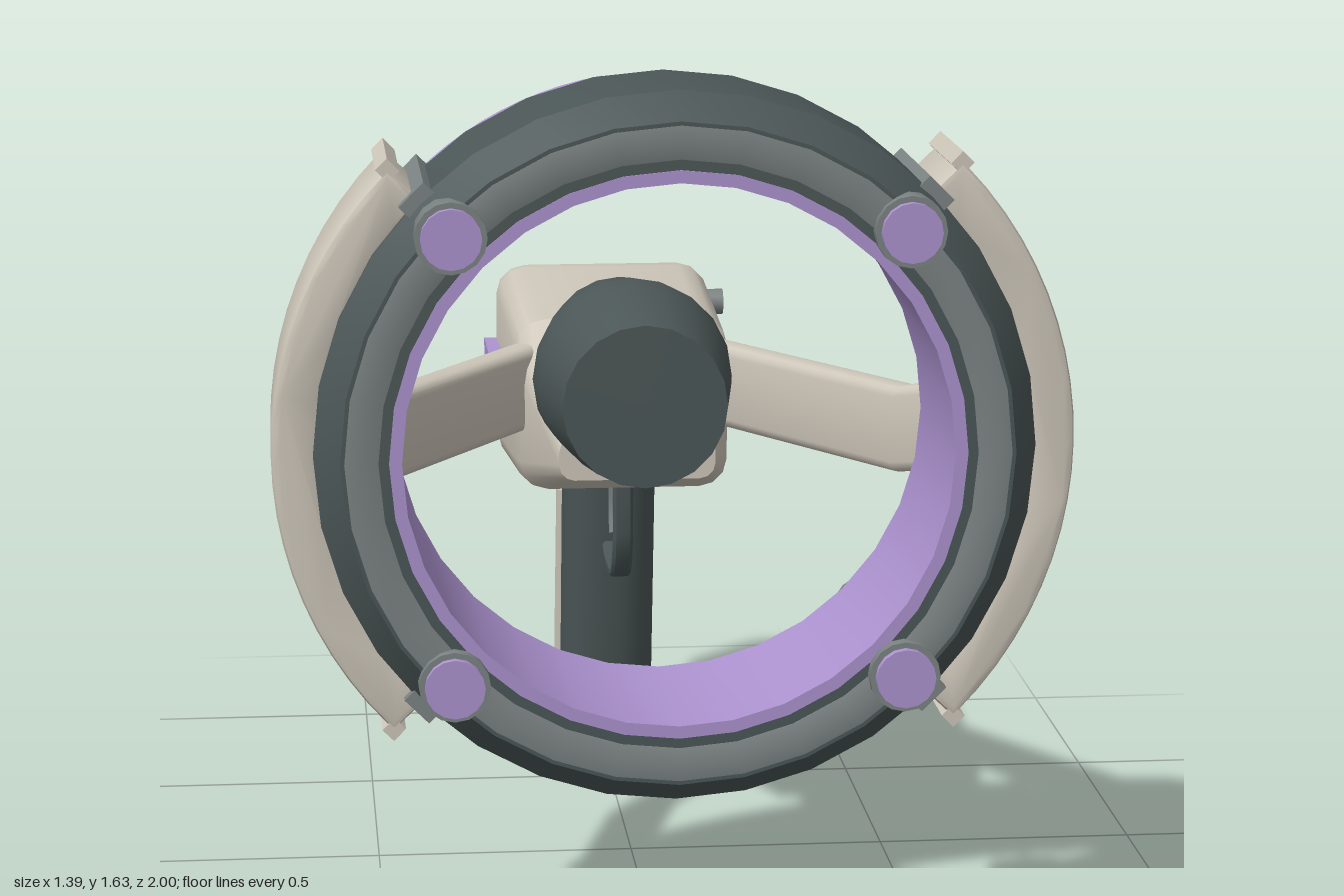
import * as THREE from 'three';
import { toCreasedNormals } from 'three/addons/utils/BufferGeometryUtils.js';

const RING_Y = 1.01;

export function createModel() {
  const model = new THREE.Group();
  const material = (name, color) => {
    const m = new THREE.MeshStandardMaterial({ color });
    m.name = name;
    return m;
  };
  const dark = material('dark slate', 0x4c5757);
  const cream = material('warm cream', 0xcec7ba);
  const purple = material('soft purple', 0xad93d0);
  const grey = material('mid grey', 0x7c8383);

  const add = (name, geo, mat, x = 0, y = 0, z = 0, crease = 0.6) => {
    const mesh = new THREE.Mesh(toCreasedNormals(geo, crease), mat);
    mesh.name = name;
    mesh.position.set(x, y, z);
    model.add(mesh);
    return mesh;
  };

  // Rounded rectangle outline as [u, v] pairs, counter-clockwise
  const roundRect = (hw, hh, r, n = 3) => {
    const pts = [];
    [[1, 1], [-1, 1], [-1, -1], [1, -1]].forEach(([sx, sy], q) => {
      for (let i = 0; i <= n; i++) {
        const a = (q + i / n) * Math.PI / 2;
        pts.push([sx * (hw - r) + r * Math.cos(a), sy * (hh - r) + r * Math.sin(a)]);
      }
    });
    return pts;
  };

  // Skin a row of cross-sections and close both ends
  const loft = (rings) => {
    const pos = [];
    const tri = (...p) => p.forEach((v) => pos.push(v.x, v.y, v.z));
    const n = rings[0].length;
    for (let i = 0; i < rings.length - 1; i++) {
      for (let j = 0; j < n; j++) {
        const k = (j + 1) % n;
        tri(rings[i][j], rings[i][k], rings[i + 1][k]);
        tri(rings[i][j], rings[i + 1][k], rings[i + 1][j]);
      }
    }
    const last = rings[rings.length - 1];
    for (let j = 1; j < n - 1; j++) {
      tri(rings[0][0], rings[0][j + 1], rings[0][j]);
      tri(last[0], last[j], last[j + 1]);
    }
    const geo = new THREE.BufferGeometry();
    geo.setAttribute('position', new THREE.Float32BufferAttribute(pos, 3));
    return geo;
  };

  // Turned part around the z axis from [radius, z] points
  const turned = (points, seg) =>
    new THREE.LatheGeometry(points.map(([r, z]) => new THREE.Vector2(r, z)), seg).rotateX(Math.PI / 2);

  // Curved band around the ring axis
  const arcBand = (r0, r1, a0, a1, z0, z1, bevel = 0) => {
    const s = new THREE.Shape();
    s.absarc(0, 0, r1 - bevel, a0, a1, false);
    s.absarc(0, 0, r0 + bevel, a1, a0, true);
    return new THREE.ExtrudeGeometry(s, {
      depth: z1 - z0 - 2 * bevel, curveSegments: 10, bevelEnabled: bevel > 0,
      bevelSize: bevel, bevelThickness: bevel, bevelSegments: 2,
    }).translate(0, 0, z0 + bevel);
  };

  // Emitter ring
  add('ringHousing', turned([[0.49, 0.57], [0.56, 0.57], [0.565, 0.608], [0.605, 0.608], [0.625, 0.63],
    [0.625, 0.9], [0.58, 0.965], [0.57, 0.965], [0.565, 0.945], [0.52, 0.945], [0.515, 0.96],
    [0.49, 0.96], [0.49, 0.57]], 32), dark, 0, RING_Y);
  add('ringFrontBand', turned([[0.573, 0.944], [0.573, 0.966], [0.545, 0.97], [0.515, 0.962], [0.515, 0.944]], 32),
    grey, 0, RING_Y);
  add('ringLiner', turned([[0.475, 0.575], [0.497, 0.575], [0.497, 0.963], [0.475, 0.963], [0.475, 0.575]], 32),
    purple, 0, RING_Y);

  // Back arcs, pegs and clamps at the four diagonals
  for (let q = 0; q < 4; q++) {
    const a = Math.PI / 4 + q * Math.PI / 2;
    const px = 0.551 * Math.cos(a), py = RING_Y + 0.551 * Math.sin(a);
    add('ringBackArc', arcBand(0.545, 0.615, a - 0.62, a + 0.62, 0.562, 0.607), purple, 0, RING_Y);
    add('frontPeg', turned([[0, 0.88], [0.045, 0.88], [0.062, 0.925], [0.062, 0.985], [0, 0.985]], 16), grey, px, py);
    add('frontPegCap', turned([[0, 0.98], [0.052, 0.98], [0.052, 1.0], [0, 1.0]], 16), purple, px, py);
    add('backPeg', turned([[0, 0.515], [0.063, 0.515], [0.063, 0.575], [0.045, 0.62], [0, 0.62]], 16), grey, px, py);
    const clamp = add('pegClamp', new THREE.BoxGeometry(0.085, 0.06, 0.33), grey,
      0.598 * Math.cos(a), RING_Y + 0.598 * Math.sin(a), 0.745);
    clamp.rotation.z = a;
  }

  // Side guards, each with a lip at both ends, and the struts behind them
  for (const s of [1, -1]) {
    const mid = s > 0 ? 0 : Math.PI;
    add('sideGuard', arcBand(0.615, 0.697, mid - 0.77, mid + 0.77, 0.637, 0.887, 0.012), cream, 0, RING_Y);
    for (const e of [1, -1]) {
      add('guardLip', arcBand(0.68, 0.71, mid + e * 0.785 - 0.02, mid + e * 0.785 + 0.02, 0.64, 0.884),
        cream, 0, RING_Y);
    }
    const path = [[0.19, 0.905, -0.2], [0.495, 0.905, 0.27], [0.645, 1.0, 0.66]]
      .map(([x, y, z]) => new THREE.Vector3(s * x, y, z));
    const rings = path.map((p, i) => {
      const d = path[Math.min(i + 1, 2)].clone().sub(path[Math.max(i - 1, 0)]).setY(0).normalize();
      return roundRect(0.033, 0.083, 0.02).map(([u, v]) => new THREE.Vector3(p.x + u * d.z, p.y + v, p.z - u * d.x));
    });
    add('strut', loft(rings), cream);
  }

  // Body: [z, half width, bottom, top, corner radius]
  const bodySections = [
    [-1.0, 0.125, 0.66, 0.93, 0.04], [-0.985, 0.143, 0.645, 0.952, 0.05], [-0.83, 0.193, 0.632, 1.012, 0.055],
    [-0.73, 0.22, 0.637, 1.052, 0.06], [-0.69, 0.221, 0.641, 1.053, 0.06], [-0.22, 0.212, 0.69, 1.032, 0.06],
    [-0.16, 0.205, 0.7, 0.985, 0.055], [0.14, 0.15, 0.785, 0.87, 0.03],
  ];
  add('body', loft(bodySections.map(([z, w, b, t, r]) =>
    roundRect(w, (t - b) / 2, r).map(([x, y]) => new THREE.Vector3(x, y + (t + b) / 2, z)))), cream);

  // Barrel
  add('barrel', turned([[0, -0.28], [0.142, -0.28], [0.185, -0.03], [0.193, 0.03], [0.186, 0.09], [0.155, 0.31],
    [0, 0.31]], 20), dark, 0, 0.962);

  // Side lights and the knob on the left
  for (const s of [1, -1]) {
    add('sideLight', new THREE.BoxGeometry(0.05, 0.095, 0.295), purple, s * 0.222, 0.852, -0.572);
  }
  add('knob', new THREE.CylinderGeometry(0.027, 0.027, 0.06, 12).rotateZ(Math.PI / 2), grey, 0.225, 0.972, -0.705);

  // Upright rounded parts: [y, centre z, half depth, half width, corner radius]
  const upright = (sections) => loft(sections.map(([y, z, d, w, r]) =>
    roundRect(d, w, r, 4).map(([u, v]) => new THREE.Vector3(v, y, z + u))));
  add('grip', upright([[0.07, -0.637, 0.118, 0.093, 0.075], [0.69, -0.535, 0.12, 0.093, 0.075]]), dark);
  add('gripBackPanel', upright([[0.125, -0.762, 0.028, 0.1, 0.025], [0.585, -0.66, 0.03, 0.1, 0.025]]), cream);
  add('gripBase', upright([[0, -0.66, 0.13, 0.09, 0.07], [0.022, -0.66, 0.147, 0.108, 0.08],
    [0.07, -0.658, 0.152, 0.111, 0.085], [0.1, -0.65, 0.142, 0.1, 0.08]]), cream);

  // Trigger guard and trigger, as flat strips following a [z, y] path
  const strip = (path, halfThick, halfWidth) => loft(path.map(([z, y], i) => {
    const a = path[Math.max(i - 1, 0)], b = path[Math.min(i + 1, path.length - 1)];
    const d = new THREE.Vector2(b[0] - a[0], b[1] - a[1]).normalize();
    return roundRect(halfWidth, halfThick, 0.006, 1).map(([u, v]) =>
      new THREE.Vector3(u, y + v * d.x, z - v * d.y));
  }));
  add('triggerGuard', strip([[-0.18, 0.72], [-0.183, 0.6], [-0.2, 0.55], [-0.235, 0.51], [-0.285, 0.497],
    [-0.4, 0.497], [-0.46, 0.515]], 0.011, 0.02), dark);
  add('trigger', strip([[-0.325, 0.7], [-0.345, 0.64], [-0.347, 0.6], [-0.335, 0.565]], 0.012, 0.015), grey);

  return model;
}
